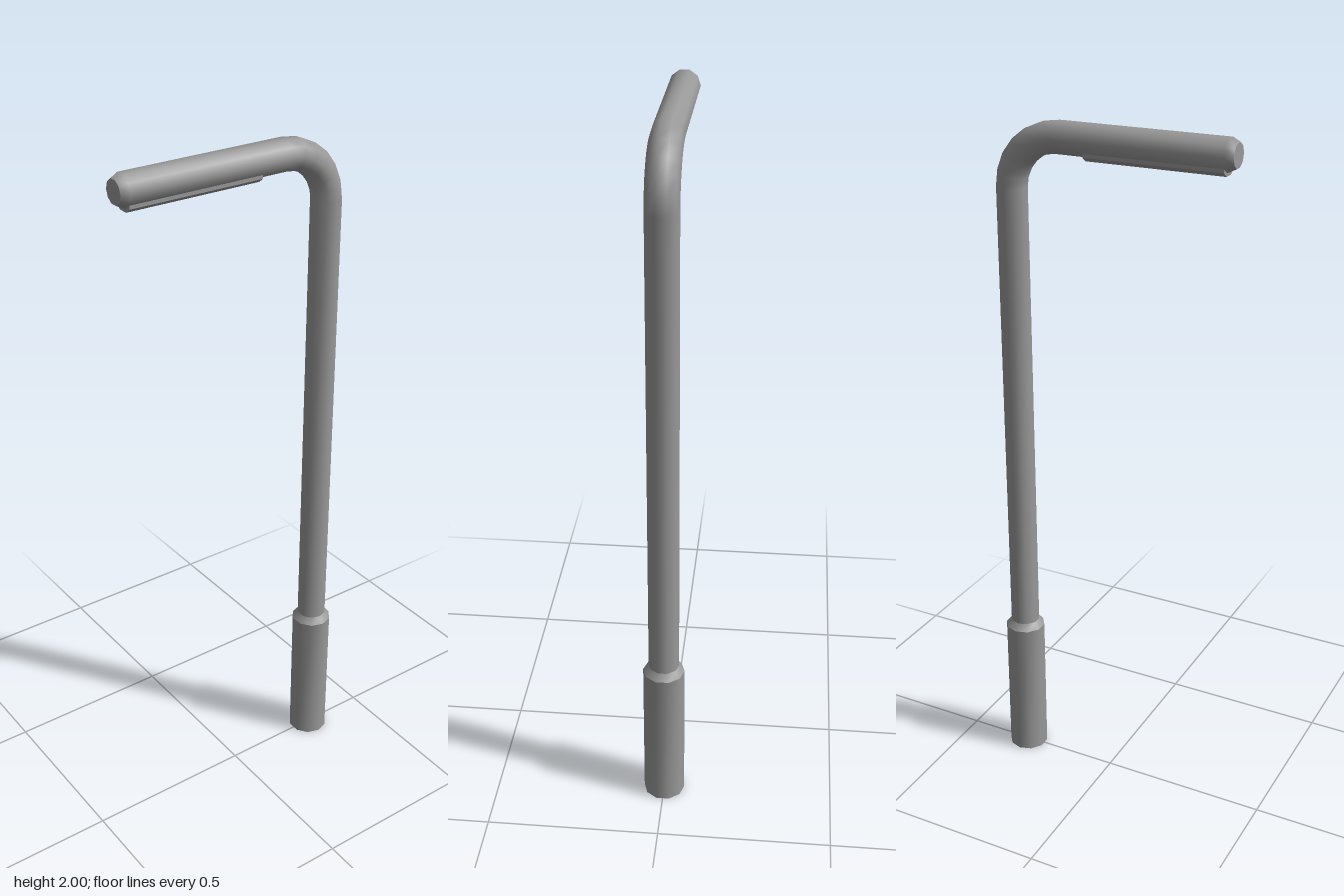
import * as THREE from 'three';

const SIDES = 10;
const POLE_Z = -0.298, ARM_Y = 1.958, R = 0.044, BEND = 0.145;
const material = new THREE.MeshStandardMaterial({ color: 0x999999 });

// Ring in the x = 0 plane: centre (y, z), radius r, tilt from upright (0) to forward (PI / 2)
const ring = (y, z, r, tilt = 0) => ({ y, z, r, tilt });

// Skin a chain of rings; a ring given twice in a row makes a sharp edge
function sweep(name, rings) {
  const pos = [], index = [];
  rings.forEach(({ y, z, r, tilt }, i) => {
    for (let j = 0; j < SIDES; j++) {
      const t = (j / SIDES) * Math.PI * 2;
      const out = r * Math.sin(t);
      pos.push(r * Math.cos(t), y + out * Math.sin(tilt), z - out * Math.cos(tilt));
    }
    const next = rings[i + 1];
    if (!next || next === rings[i]) return;
    for (let j = 0; j < SIDES; j++) {
      const a = i * SIDES + j, b = i * SIDES + (j + 1) % SIDES;
      if (r > 0) index.push(a, b, b + SIDES);
      if (next.r > 0) index.push(a, b + SIDES, a + SIDES);
    }
  });
  const geo = new THREE.BufferGeometry();
  geo.setAttribute('position', new THREE.Float32BufferAttribute(pos, 3));
  geo.setIndex(index);
  geo.computeVertexNormals();
  const mesh = new THREE.Mesh(geo, material);
  mesh.name = name;
  return mesh;
}

export function createModel() {
  const group = new THREE.Group();
  group.name = 'streetLamp';

  // Base sleeve with a chamfered shoulder that meets the pole
  const foot = ring(0, POLE_Z, 0.06);
  const shoulder = ring(0.44, POLE_Z, 0.06);
  group.add(sweep('base', [
    ring(0, POLE_Z, 0), foot, foot, shoulder, shoulder, ring(0.46, POLE_Z, R),
  ]));

  // Pole, bend and arm as one bent pipe
  const pipe = [ring(0.46, POLE_Z, R)];
  const steps = 6;
  for (let i = 0; i <= steps; i++) {
    const a = (i / steps) * Math.PI / 2;
    pipe.push(ring(
      ARM_Y - BEND + BEND * Math.sin(a),
      POLE_Z + BEND - BEND * Math.cos(a),
      R, a));
  }
  // Softly bevelled tip with a flat end
  const tip = ring(ARM_Y, 0.355, 0.033, Math.PI / 2);
  pipe.push(ring(ARM_Y, 0.333, R, Math.PI / 2), tip, tip, ring(ARM_Y, 0.355, 0, Math.PI / 2));
  group.add(sweep('poleAndArm', pipe));

  // Light strip under the arm, with sloped sides following the pipe
  const section = new THREE.Shape([
    [-0.014, 1.906], [0.014, 1.906], [0.03, 1.918], [0.03, 1.932], [-0.03, 1.932], [-0.03, 1.918],
  ].map(([x, y]) => new THREE.Vector2(x, y)));
  const light = new THREE.Mesh(
    new THREE.ExtrudeGeometry(section, { depth: 0.395, bevelEnabled: false }), material);
  light.name = 'lightStrip';
  light.position.z = -0.065;
  group.add(light);

  return group;
}
